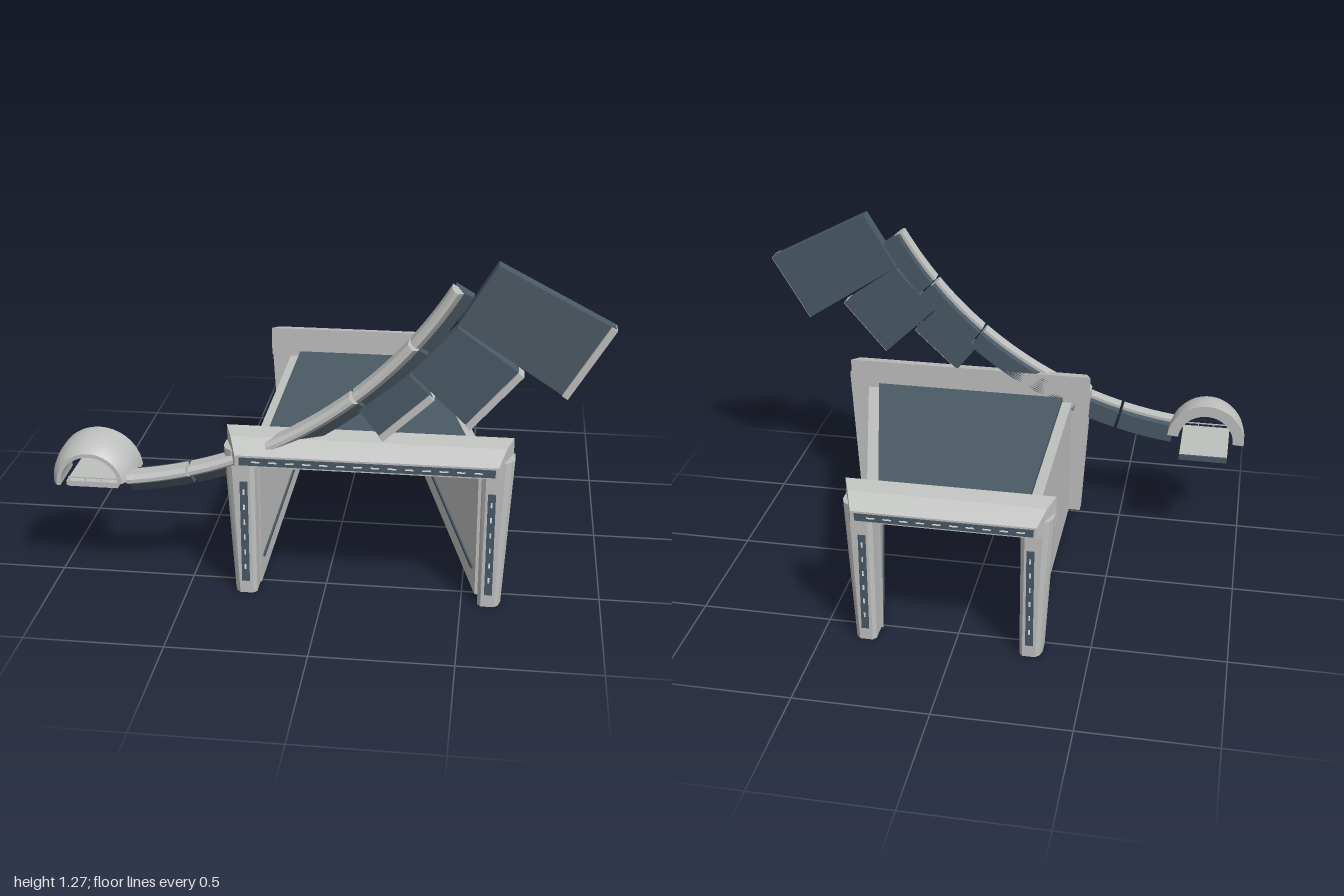
import * as THREE from 'three';
import { toCreasedNormals } from 'three/addons/utils/BufferGeometryUtils.js';

export function createModel() {
  const root = new THREE.Group();
  root.name = 'gateBuilding';
  const mat = (name, color) => {
    const m = new THREE.MeshStandardMaterial({ color });
    m.name = name;
    return m;
  };
  const grey = mat('paleGrey', 0xbfc1bf);
  const slate = mat('slateBlue', 0x4b5a65);
  const light = mat('lampWhite', 0xe2e6e8);

  const add = (parent, name, geo, material) => {
    const m = new THREE.Mesh(geo, material);
    m.name = name;
    parent.add(m);
    return m;
  };
  const outline = (pts) => new THREE.Shape(pts.map(([x, y]) => new THREE.Vector2(x, y)));
  const extrude = (pts, depth, steps = 1) =>
    new THREE.ExtrudeGeometry(outline(pts), { depth, steps, bevelEnabled: false });
  // upright prism over a ground plan of [x, z] points
  const prism = (plan, y0, y1) =>
    extrude(plan.map(([x, z]) => [x, -z]), y1 - y0).rotateX(-Math.PI / 2).translate(0, y0, 0);
  const box = (x0, x1, y0, y1, z0, z1) =>
    new THREE.BoxGeometry(x1 - x0, y1 - y0, z1 - z0).translate((x0 + x1) / 2, (y0 + y1) / 2, (z0 + z1) / 2);
  // move every vertex by a rule
  const warp = (geo, rule) => {
    const p = geo.attributes.position;
    const v = new THREE.Vector3();
    for (let i = 0; i < p.count; i++) {
      v.fromBufferAttribute(p, i);
      rule(v);
      p.setXYZ(i, v.x, v.y, v.z);
    }
    geo.computeVertexNormals();
    return geo;
  };
  // sweep a [radius, z] profile round a centre, angles measured from straight down
  const sweep = (profile, cx, cy, a0, a1, steps) =>
    toCreasedNormals(warp(extrude(profile, 1, steps), (v) => {
      const a = a1 + (a0 - a1) * v.z;
      v.set(cx + v.x * Math.sin(a), cy - v.x * Math.cos(a), v.y);
    }), 0.4);

  // hall: side walls, roof, ceiling and skirting lines
  const hall = new THREE.Group();
  hall.name = 'hall';
  root.add(hall);
  const L = 0.515;
  add(hall, 'rightWall', prism([[-0.28, -L], [-0.24, -L], [-0.24, L], [-0.28, L]], 0, 0.51), grey);
  add(hall, 'leftWall', prism([[0.287, -L], [0.335, -L], [0.595, L], [0.548, L]], 0, 0.51), grey);
  add(hall, 'roof', prism([[-0.24, -L], [0.29, -L], [0.55, L], [-0.24, L]], 0.51, 0.53), slate);
  add(hall, 'ceiling', prism([[-0.24, -L], [0.287, -L], [0.548, L], [-0.24, L]], 0.502, 0.51), grey);
  add(hall, 'rightSkirting', box(-0.24, -0.234, 0.08, 0.095, -0.47, 0.47), slate);
  add(hall, 'leftSkirting', prism([[0.29, -0.48], [0.302, -0.48], [0.541, 0.47], [0.53, 0.47]], 0.08, 0.095), slate);
  for (let i = 1; i < 5; i++) {
    const xb = -0.24 + 0.527 * i / 5, xf = -0.24 + 0.788 * i / 5;
    add(hall, 'ceilingLine', prism([[xb, -0.48], [xb + 0.01, -0.48], [xf + 0.01, 0.48], [xf, 0.48]], 0.498, 0.503), slate);
  }

  // portal: two flared posts and a chamfered lintel, facing +z
  function portal(name, inner0, inner1, end0, end1) {
    const g = new THREE.Group();
    g.name = name;
    root.add(g);
    for (const [xi, s] of [[inner0, -1], [inner1, 1]]) {
      const plan = [[0, 0.51], [0, 0.585], [0.012, 0.6], [0.06, 0.6], [0.075, 0.585], [0.083, 0.56], [0.083, 0.51]];
      const geo = warp(prism(plan.map(([x, z]) => [x * s, z]), 0, 0.57), (v) => {
        v.x = xi + v.x * (1 + 0.37 * v.y / 0.57);
      });
      add(g, 'post', geo, grey);
      const xc = xi + s * 0.038;
      add(g, 'postStrip', box(xc - 0.014, xc + 0.014, 0.05, 0.45, 0.598, 0.604), slate);
      for (let i = 0; i < 6; i++) {
        const y = 0.1 + i * 0.06;
        add(g, 'postLamp', box(xc - 0.003, xc + 0.003, y, y + 0.02, 0.602, 0.606), light);
      }
    }
    const profile = [[0.51, 0.63], [0.575, 0.615], [0.645, 0.572], [0.645, 0.53], [0.605, 0.513], [0.51, 0.513]];
    const mid = (end0 + end1) / 2;
    const lintel = warp(extrude(profile.map(([z, y]) => [-z, y]), end1 - end0).rotateY(Math.PI / 2), (v) => {
      v.x += end0;
      v.x -= Math.sign(v.x - mid) * Math.max(0, v.z - 0.51) / 0.135 * 0.05;
    });
    add(g, 'lintel', lintel, grey);
    add(g, 'lintelStrip', box(end0 + 0.065, end1 - 0.06, 0.536, 0.565, 0.643, 0.648), slate);
    const n = Math.round((end1 - end0 - 0.2) / 0.06);
    for (let i = 0; i < n; i++) {
      const x = end0 + 0.11 + i * 0.06;
      add(g, 'lintelLamp', box(x, x + 0.03, 0.548, 0.553, 0.646, 0.65), light);
    }
    return g;
  }
  portal('frontPortal', -0.245, 0.56, -0.355, 0.668);
  portal('backPortal', -0.295, 0.245, -0.41, 0.36).rotation.y = Math.PI;

  // curved arm in segments: slate beam with a pale chamfered cap
  const arm = new THREE.Group();
  arm.name = 'curvedArm';
  root.add(arm);
  const cap = [[1.55, 0.545], [1.55, 0.6], [1.562, 0.618], [1.575, 0.618], [1.595, 0.58], [1.595, 0.545]];
  const beam = [[1.562, 0.51], [1.562, 0.56], [1.594, 0.578], [1.635, 0.55], [1.635, 0.51]];
  for (const [a0, a1] of [[0.12, 0.262], [0.27, 0.455], [0.462, 0.692], [0.7, 0.875], [0.883, 1.036]]) {
    add(arm, 'armCap', sweep(cap, -0.895, 1.99, a0, a1, 8), grey);
    add(arm, 'armBeam', sweep(beam, -0.895, 1.99, a0, a1, 8), slate);
  }

  // fan blades; second and third corners carry the pale end bar
  const blades = [
    [[0.59, 1.275], [0.992, 1.065], [0.84, 0.81], [0.46, 1.06]],
    [[0.46, 1.05], [0.69, 0.885], [0.513, 0.68], [0.305, 0.88]],
    [[0.3, 0.87], [0.387, 0.785], [0.21, 0.62], [0.125, 0.73]],
  ];
  const toward = ([ax, ay], [bx, by], d) => {
    const k = d / Math.hypot(bx - ax, by - ay);
    return [ax + (bx - ax) * k, ay + (by - ay) * k];
  };
  for (const [a, b, c, d] of blades) {
    const b2 = toward(b, a, 0.004), c2 = toward(c, d, 0.004);
    add(arm, 'blade', extrude([a, b2, c2, d], 0.057).translate(0, 0, 0.51), slate);
    add(arm, 'bladeEndBar', extrude([toward(b, a, 0.024), b, c, toward(c, d, 0.024)], 0.063).translate(0, 0, 0.514), grey);
  }

  // pod: open half hood over a small landing plate
  const pod = new THREE.Group();
  pod.name = 'pod';
  root.add(pod);
  const hood = [[0.157, 0.45], [0.157, 0.51], [0.15, 0.56], [0.138, 0.595], [0.122, 0.617], [0.108, 0.617], [0.112, 0.45]];
  add(pod, 'hood', sweep(hood, -0.843, 0.412, Math.PI / 2 + 0.1, Math.PI * 1.5 + 0.05, 24), grey);
  add(pod, 'landingPlate', box(-0.937, -0.745, 0.395, 0.412, 0.315, 0.59), grey);
  add(pod, 'plateEdge', box(-0.937, -0.745, 0.392, 0.414, 0.308, 0.316), slate);
  add(pod, 'plateUnderside', box(-0.932, -0.75, 0.389, 0.395, 0.32, 0.585), grey);
  for (let i = 0; i < 4; i++) {
    const x = -0.93 + i * 0.06;
    add(pod, 'railPost', box(x, x + 0.004, 0.412, 0.427, 0.583, 0.588), grey);
  }
  add(pod, 'rail', box(-0.93, -0.746, 0.424, 0.428, 0.583, 0.588), grey);
  return root;
}
